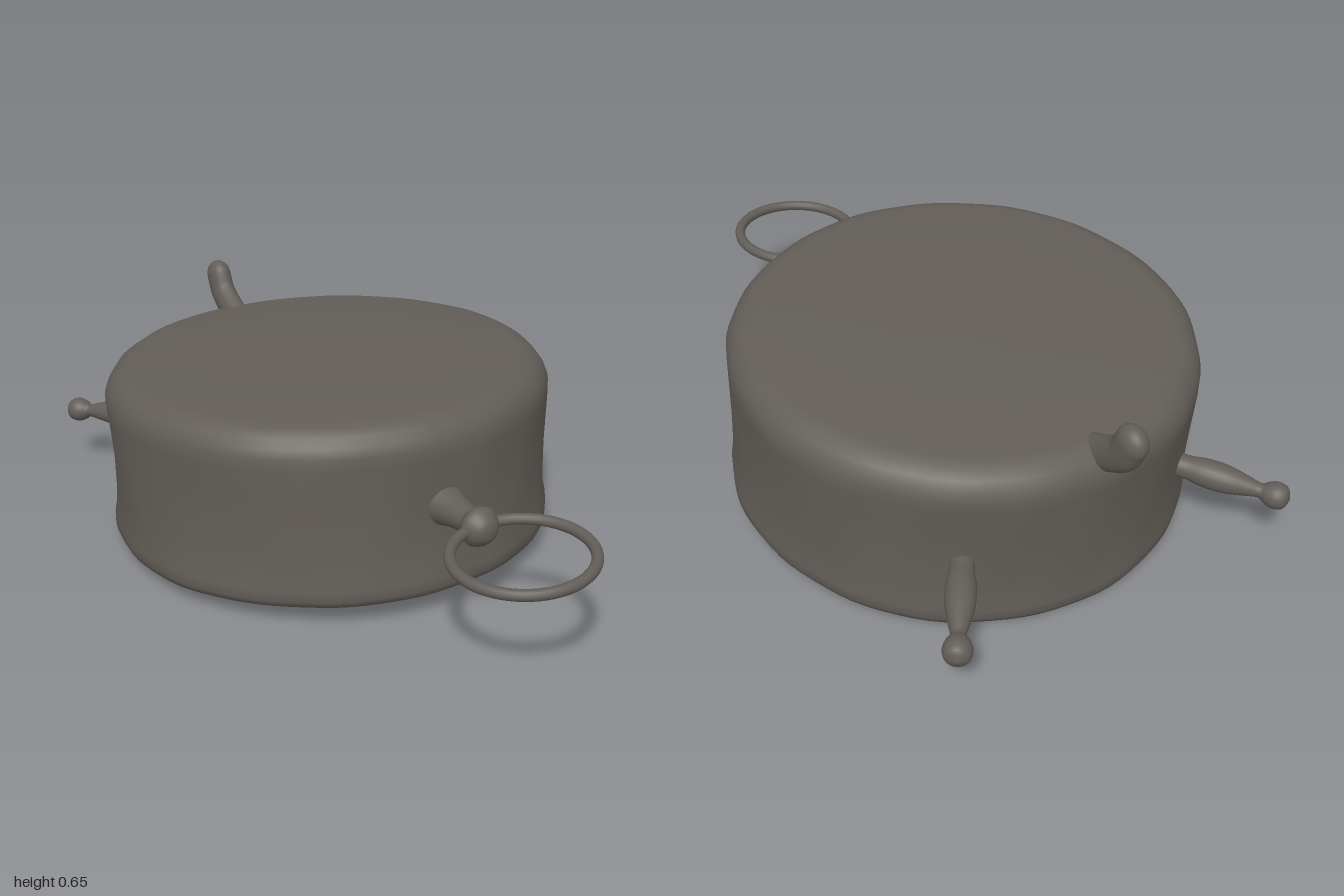
import * as THREE from 'three';

const metal = new THREE.MeshStandardMaterial({ color: 0x625d57 });
const dialPaint = new THREE.MeshStandardMaterial({ color: 0x6a6548 });
const ink = new THREE.MeshStandardMaterial({ color: 0x2a2922 });

const points = (list) => list.map(([r, y]) => new THREE.Vector2(r, y));

function add(parent, name, geometry, material = metal) {
  const mesh = new THREE.Mesh(geometry, material);
  mesh.name = name;
  parent.add(mesh);
  return mesh;
}

// Turned part running from one point towards another (profile y = distance along it)
function spindle(parent, name, profile, from, to) {
  const smooth = new THREE.SplineCurve(points(profile)).getPoints(40);
  smooth.forEach((p) => { p.x = Math.max(p.x, 0); });
  const mesh = add(parent, name, new THREE.LatheGeometry(smooth, 24));
  const start = new THREE.Vector3(...from);
  const direction = new THREE.Vector3(...to).sub(start).normalize();
  mesh.position.copy(start);
  mesh.quaternion.setFromUnitVectors(new THREE.Vector3(0, 1, 0), direction);
  return mesh;
}

// Worn drum with a rounded back and a recessed front, gently dented by a sine rule
function caseGeometry() {
  const profile = points([
    [0.575, -0.16], [0.585, -0.17], [0.592, -0.21], [0.602, -0.238], [0.62, -0.255],
    [0.645, -0.262], [0.665, -0.255], [0.675, -0.235], [0.675, -0.205], [0.668, -0.17],
    [0.665, -0.1], [0.664, 0], [0.667, 0.08], [0.67, 0.15], [0.67, 0.185], [0.66, 0.213],
    [0.642, 0.238], [0.618, 0.254], [0.585, 0.263], [0.4, 0.27], [0.2, 0.273], [0, 0.274],
  ]);
  const geometry = new THREE.LatheGeometry(profile, 96);
  const position = geometry.attributes.position;
  for (let i = 0; i < position.count; i++) {
    const x = position.getX(i), y = position.getY(i), z = position.getZ(i);
    const angle = Math.atan2(x, z);
    const dent = 1 + 0.003 * Math.sin(7 * angle + 9 * y) + 0.002 * Math.sin(17 * angle - 14 * y);
    position.setXYZ(i, x * dent, y, z * dent);
  }
  const normals = geometry.attributes.normal.clone();
  geometry.computeVertexNormals();
  // Keep the seam columns matched
  const rows = profile.length, last = 96 * rows;
  for (let j = 0; j < rows; j++) {
    for (const i of [j, last + j]) {
      geometry.attributes.normal.setXYZ(i, normals.getX(i), normals.getY(i), normals.getZ(i));
    }
  }
  return geometry;
}

// Thin bar on the dial; angle 0 points to twelve o'clock (+z)
function dialBar(parent, name, angle, inner, outer, width, y) {
  const bar = add(parent, name, new THREE.BoxGeometry(width, 0.006, outer - inner), ink);
  const middle = (inner + outer) / 2;
  bar.position.set(Math.sin(angle) * middle, y, Math.cos(angle) * middle);
  bar.rotation.y = angle;
}

export function createModel() {
  const model = new THREE.Group();
  model.name = 'alarmClock';

  // Case lying on its face, leaning slightly
  const body = new THREE.Group();
  body.name = 'body';
  body.position.set(0, 0.297, -0.2);
  body.rotation.x = -0.05;
  model.add(body);
  add(body, 'case', caseGeometry());

  // Dial, hour marks and hands on the underside
  const dial = add(body, 'dial', new THREE.CircleGeometry(0.59, 96), dialPaint);
  dial.rotation.x = Math.PI / 2;
  dial.position.y = -0.163;
  for (let i = 0; i < 12; i++) {
    dialBar(body, 'hourMark', (i * Math.PI) / 6, 0.38, 0.49, i % 3 ? 0.035 : 0.055, -0.165);
  }
  dialBar(body, 'minuteHand', 0.85, -0.06, 0.4, 0.018, -0.171);
  dialBar(body, 'hourHand', 2.1, -0.05, 0.25, 0.024, -0.169);
  const hub = add(body, 'handHub', new THREE.CylinderGeometry(0.025, 0.025, 0.02, 20), ink);
  hub.position.y = -0.17;

  // Two turned feet with ball tips
  const footProfile = [
    [0.034, 0], [0.034, 0.04], [0.041, 0.09], [0.04, 0.15], [0.028, 0.21], [0.021, 0.245],
    [0.032, 0.265], [0.039, 0.29], [0.03, 0.317], [0, 0.33],
  ];
  spindle(model, 'leftFoot', footProfile, [0.36, 0.232, -0.728], [0.535, 0.205, -0.96]);
  spindle(model, 'rightFoot', footProfile, [-0.355, 0.232, -0.74], [-0.518, 0.205, -0.975]);

  // Curved rear foot with a rounded end
  const hook = new THREE.Group();
  hook.name = 'rearFoot';
  hook.position.x = 0.005;
  hook.scale.x = 0.75;
  model.add(hook);
  const hookPath = new THREE.CatmullRomCurve3([
    new THREE.Vector3(0, 0.47, -0.77), new THREE.Vector3(0, 0.512, -0.855),
    new THREE.Vector3(0, 0.553, -0.91), new THREE.Vector3(0, 0.601, -0.935),
  ]);
  add(hook, 'rearFootArm', new THREE.TubeGeometry(hookPath, 20, 0.05, 18));
  const tip = add(hook, 'rearFootTip', new THREE.SphereGeometry(0.05, 18, 14));
  tip.position.set(0, 0.601, -0.935);

  // Stem and flattened knob that carry the ring
  spindle(model, 'ringStem', [
    [0.07, 0], [0.056, 0.04], [0.046, 0.08], [0.038, 0.13], [0.038, 0.15],
    [0.054, 0.172], [0.057, 0.188], [0.045, 0.21], [0.025, 0.228], [0, 0.233],
  ], [-0.015, 0.33, 0.425], [-0.015, 0.335, 0.66]);

  // Hanging ring
  const ring = add(model, 'ring', new THREE.TorusGeometry(0.189, 0.016, 14, 72));
  ring.position.set(-0.012, 0.334, 0.793);
  ring.rotation.set(Math.PI / 2, 0.055, 0);

  return model;
}
